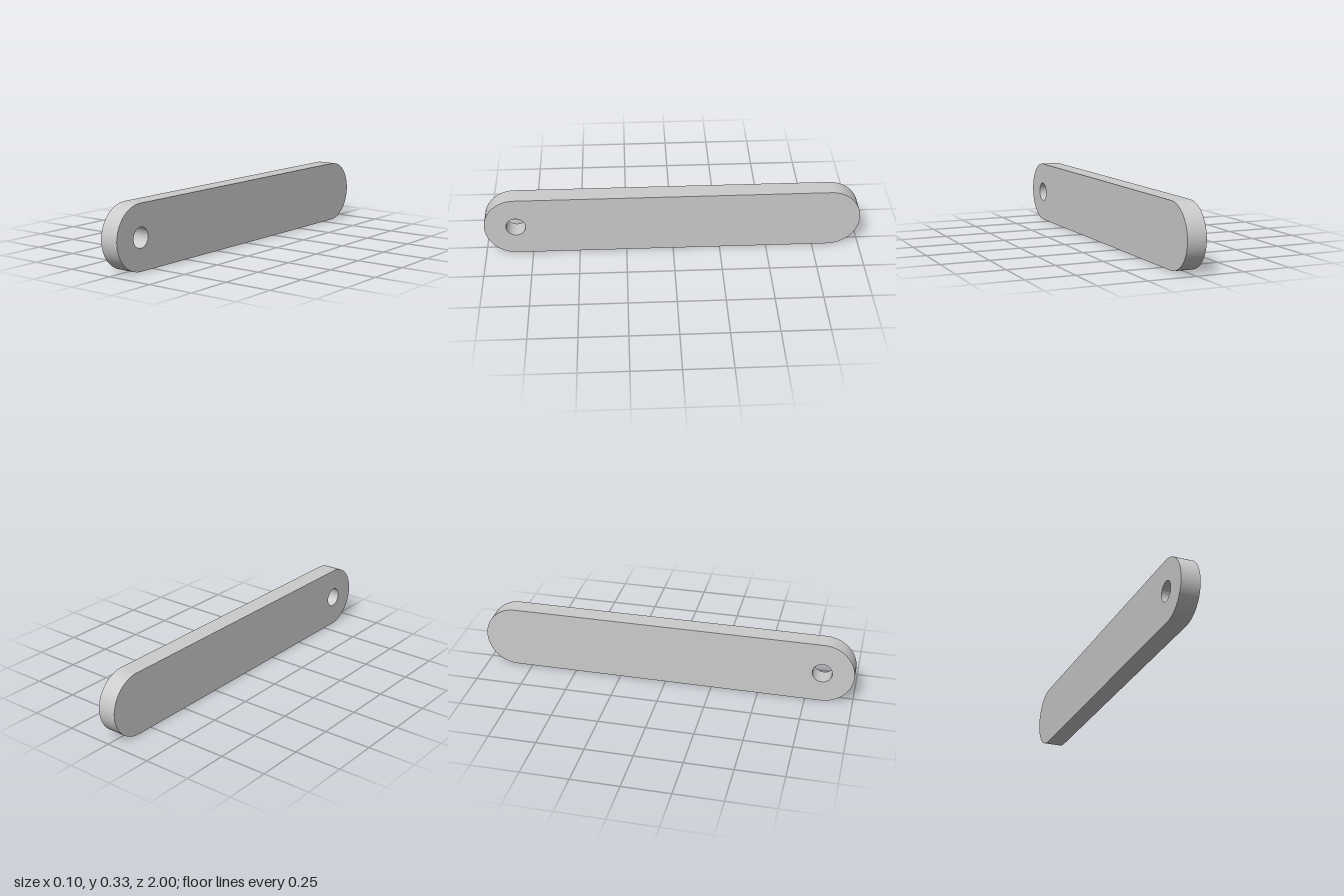
import * as THREE from 'three';
import { toCreasedNormals } from 'three/addons/utils/BufferGeometryUtils.js';

const RADIUS = 0.167;      // rounded ends, half the bar height
const HALF_LENGTH = 1;
const THICKNESS = 0.1;
const HOLE_RADIUS = 0.052;

export function createModel() {
  const group = new THREE.Group();
  group.name = 'linkBar';
  const end = HALF_LENGTH - RADIUS;

  // Stadium outline, drawn with its length along x
  const outline = new THREE.Shape();
  outline.absarc(end, RADIUS, RADIUS, -Math.PI / 2, Math.PI / 2, false);
  outline.absarc(-end, RADIUS, RADIUS, Math.PI / 2, Math.PI * 1.5, false);
  outline.closePath();

  // Pivot hole, concentric with the front end
  const hole = new THREE.Path();
  hole.absarc(end, RADIUS, HOLE_RADIUS, 0, Math.PI * 2, true);
  outline.holes.push(hole);

  // Extrude the thickness, centre it, then turn the length towards z
  const geometry = new THREE.ExtrudeGeometry(outline, {
    depth: THICKNESS, bevelEnabled: false, curveSegments: 48,
  });
  geometry.translate(0, 0, -THICKNESS / 2);
  geometry.rotateY(-Math.PI / 2);

  const bar = new THREE.Mesh(
    toCreasedNormals(geometry, Math.PI / 6),
    new THREE.MeshStandardMaterial({ color: 0xcccccc }),
  );
  bar.name = 'barWithPivotHole';
  group.add(bar);
  return group;
}
